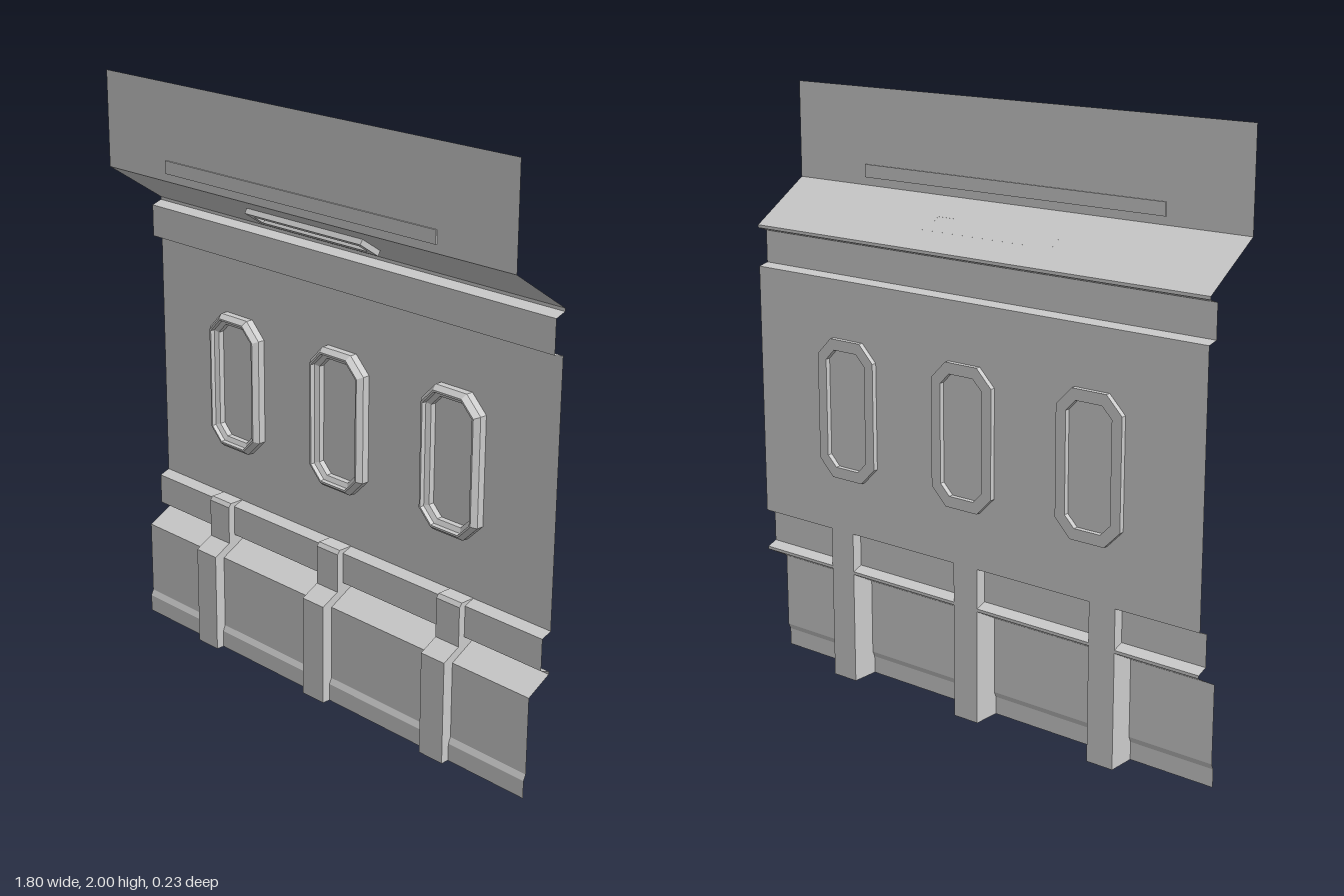
import * as THREE from 'three';

const mat = new THREE.MeshStandardMaterial({ color: 0xcccccc, flatShading: true, side: THREE.DoubleSide });

function addMesh(parent, name, geometry) {
  const m = new THREE.Mesh(geometry, mat);
  m.name = name;
  parent.add(m);
  return m;
}

// Skin flat quads between successive cross-sections (arrays of [x, y, z])
function loft(sections, closed) {
  const pos = [];
  const n = sections[0].length;
  for (let i = 0; i < sections.length - 1; i++) {
    for (let k = 0; k < (closed ? n : n - 1); k++) {
      const j = (k + 1) % n;
      const a = sections[i][k], b = sections[i][j];
      const c = sections[i + 1][j], d = sections[i + 1][k];
      pos.push(...a, ...b, ...c, ...a, ...c, ...d);
    }
  }
  const g = new THREE.BufferGeometry();
  g.setAttribute('position', new THREE.Float32BufferAttribute(pos, 3));
  g.computeVertexNormals();
  return g;
}

// Tall octagon, inset by d, at depth z
function octagon(d, z) {
  const w = 0.122 - d, h = 0.238 - d, c = 0.058 - 0.586 * d;
  return [[w, c - h], [w, h - c], [w - c, h], [c - w, h],
    [-w, h - c], [-w, c - h], [c - w, -h], [w - c, -h]].map(([x, y]) => [x, y, z]);
}

export function createModel() {
  const group = new THREE.Group();
  const W = -0.1, BAND = -0.063, SKIRT = -0.012, TOP = 0.112;

  // Wall sheet pieces: [y, z] profiles swept across the width
  const sheets = {
    skirting: [[0, -0.003], [0.06, -0.003], [0.08, SKIRT], [0.34, SKIRT], [0.388, W], [0.398, W]],
    lowerRail: [[0.398, W], [0.412, BAND], [0.518, BAND], [0.532, W]],
    wallPanel: [[0.532, W], [1.397, W]],
    upperRail: [[1.397, W], [1.406, BAND], [1.515, BAND], [1.528, W], [1.538, W]],
    slopedSoffit: [[1.538, W], [1.676, TOP]],
    upperPanel: [[1.676, TOP], [2, TOP]],
  };
  for (const [name, profile] of Object.entries(sheets)) {
    addMesh(group, name, loft(profile.map(([y, z]) => [[-0.9, y, z], [0.9, y, z]]), false));
  }

  // Solid ribs over the skirting and lower rail
  const ribShape = new THREE.Shape([[0.1, 0], [0.1, 0.533], [0.048, 0.533], [0.038, 0.52],
    [0.038, 0.386], [-0.026, 0.352], [-0.026, 0]].map(([x, y]) => new THREE.Vector2(x, y)));
  const ribGeo = new THREE.ExtrudeGeometry(ribShape, { depth: 0.098, bevelEnabled: false });
  ribGeo.translate(0, 0, -0.049).rotateY(Math.PI / 2); // profile +x becomes -z

  // Stepped octagonal frame: [inset, z] loop from back outer edge around to the back
  const frameGeo = loft([[0, -0.117], [0, -0.075], [0.014, -0.058], [0.02, -0.058],
    [0.022, -0.072], [0.037, -0.08], [0.037, -0.117], [0, -0.117]].map(([d, z]) => octagon(d, z)), true);

  const ribs = new THREE.Group(), frames = new THREE.Group();
  ribs.name = 'ribs';
  frames.name = 'windowFrames';
  group.add(ribs, frames);
  for (const s of [-1, 0, 1]) {
    addMesh(ribs, 'rib', ribGeo).position.x = s * 0.542 - 0.003;
    addMesh(frames, 'windowFrame', frameGeo).position.set(s * 0.496, 0.9625, 0);
  }

  // Light bar through the upper panel
  addMesh(group, 'lightBar', new THREE.BoxGeometry(1.2, 0.043, 0.01)).position.set(0, 1.724, 0.112);

  // Vent frame under the sloped soffit
  const rect = (C, w, h) => new C([[-w, -h], [w, -h], [w, h], [-w, h]].map(([x, y]) => new THREE.Vector2(x, y)));
  const ventShape = rect(THREE.Shape, 0.26, 0.045);
  ventShape.holes.push(rect(THREE.Path, 0.235, 0.022));
  const vent = addMesh(group, 'ventFrame', new THREE.ExtrudeGeometry(ventShape, { depth: 0.018, bevelEnabled: false }));
  vent.rotation.x = Math.atan2(TOP - W, 0.138);
  vent.position.set(-0.02, 1.611, 0.012);

  return group;
}
